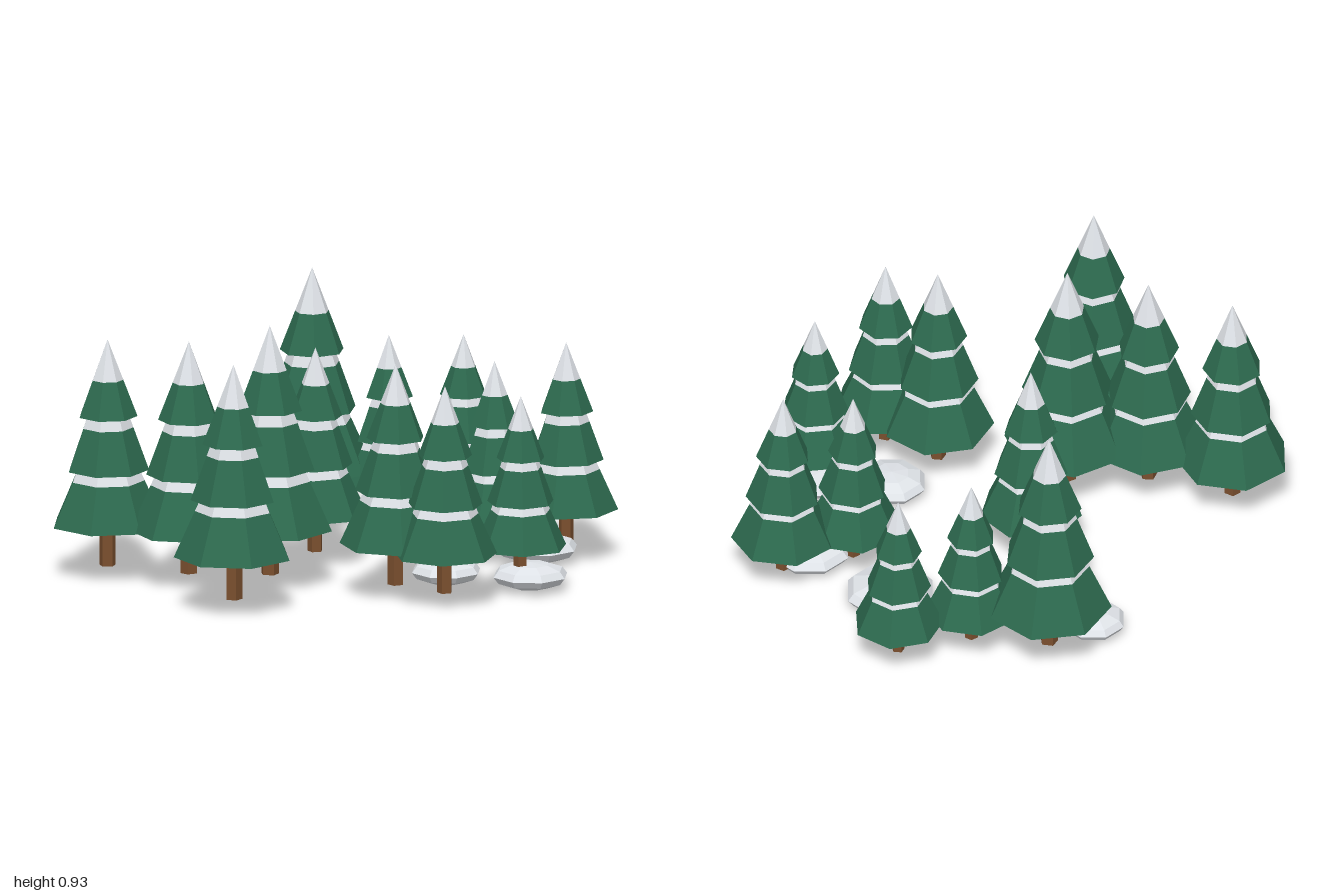
import * as THREE from 'three';

const flat = (name, color) => {
  const m = new THREE.MeshStandardMaterial({ color, flatShading: true });
  m.name = name;
  return m;
};

export function createModel() {
  const green = flat('pine green', 0x2d6a4f);
  const white = flat('snow white', 0xdfe3e8);
  const brown = flat('bark brown', 0x7a4f2e);
  const SIDES = 7;
  const GROUND = 0.04;

  const root = new THREE.Group();
  root.name = 'snowyForest';

  const add = (parent, name, geometry, material, y = 0) => {
    const mesh = new THREE.Mesh(geometry, material);
    mesh.name = name;
    mesh.position.y = y;
    parent.add(mesh);
    return mesh;
  };

  // Tapered section between two heights
  const section = (y0, r0, y1, r1, sides, open) => {
    const g = new THREE.CylinderGeometry(r1, r0, y1 - y0, sides, 1, open);
    g.translate(0, (y0 + y1) / 2, 0);
    return g;
  };

  // Tiers of a tree one unit tall: base y, base radius, snow line, top y, top radius
  const tiers = [
    [0.182, 0.25, 0.378, 0.5, 0.106],
    [0.425, 0.18, 0.612, 0.72, 0.073],
    [0.662, 0.13, 0.822, 1.0, 0],
  ];
  const trunkGeo = section(0, 0.037, 0.25, 0.037, 5, false);
  const tierGeos = tiers.map(([y0, r0, ys, y1, r1]) => {
    const rs = r0 + ((r1 - r0) * (ys - y0)) / (y1 - y0);
    return [section(y0, r0, ys, rs, SIDES, false), section(ys, rs, y1, r1, SIDES, true)];
  });

  // Trees: x, z, tip height, turn in degrees
  const trees = [
    [-0.8, -0.085, 0.85, 17], [-0.565, 0.115, 0.87, 47], [-0.3, 0.215, 0.93, 9],
    [-0.54, 0.55, 0.88, 0], [-0.04, -0.075, 0.77, 30], [0.07, 0.505, 0.83, 41],
    [0.195, 0.68, 0.78, 31], [0.13, -0.645, 0.92, 38], [0.37, -0.515, 0.69, 16],
    [0.635, -0.485, 0.68, 44], [0.565, 0.09, 0.715, 14], [0.82, 0.115, 0.77, 18],
    [0.505, 0.58, 0.7, 37],
  ];
  for (const [x, z, tip, turn] of trees) {
    const tree = new THREE.Group();
    tree.name = 'pineTree';
    add(tree, 'trunk', trunkGeo, brown);
    tierGeos.forEach(([leaf, snow], i) => {
      add(tree, 'foliageTier', leaf, green);
      add(tree, i === 2 ? 'snowCap' : 'snowBand', snow, white);
    });
    tree.position.set(x, GROUND, z);
    tree.scale.setScalar(tip - GROUND);
    tree.rotation.y = THREE.MathUtils.degToRad(turn);
    root.add(tree);
  }

  // Flattened snow mounds: x, z, radius
  const moundGeo = new THREE.SphereGeometry(1, 8, 6);
  const mounds = [
    [0.535, -0.175, 0.16], [0.285, 0.41, 0.125], [-0.055, -0.605, 0.115],
    [0.7, 0.16, 0.145], [0.545, 0.565, 0.135],
  ];
  for (const [x, z, r] of mounds) {
    const mound = add(root, 'snowMound', moundGeo, white);
    mound.position.set(x, 0.052, z);
    mound.scale.set(r, 0.02 + r * 0.2, r);
  }
  return root;
}
